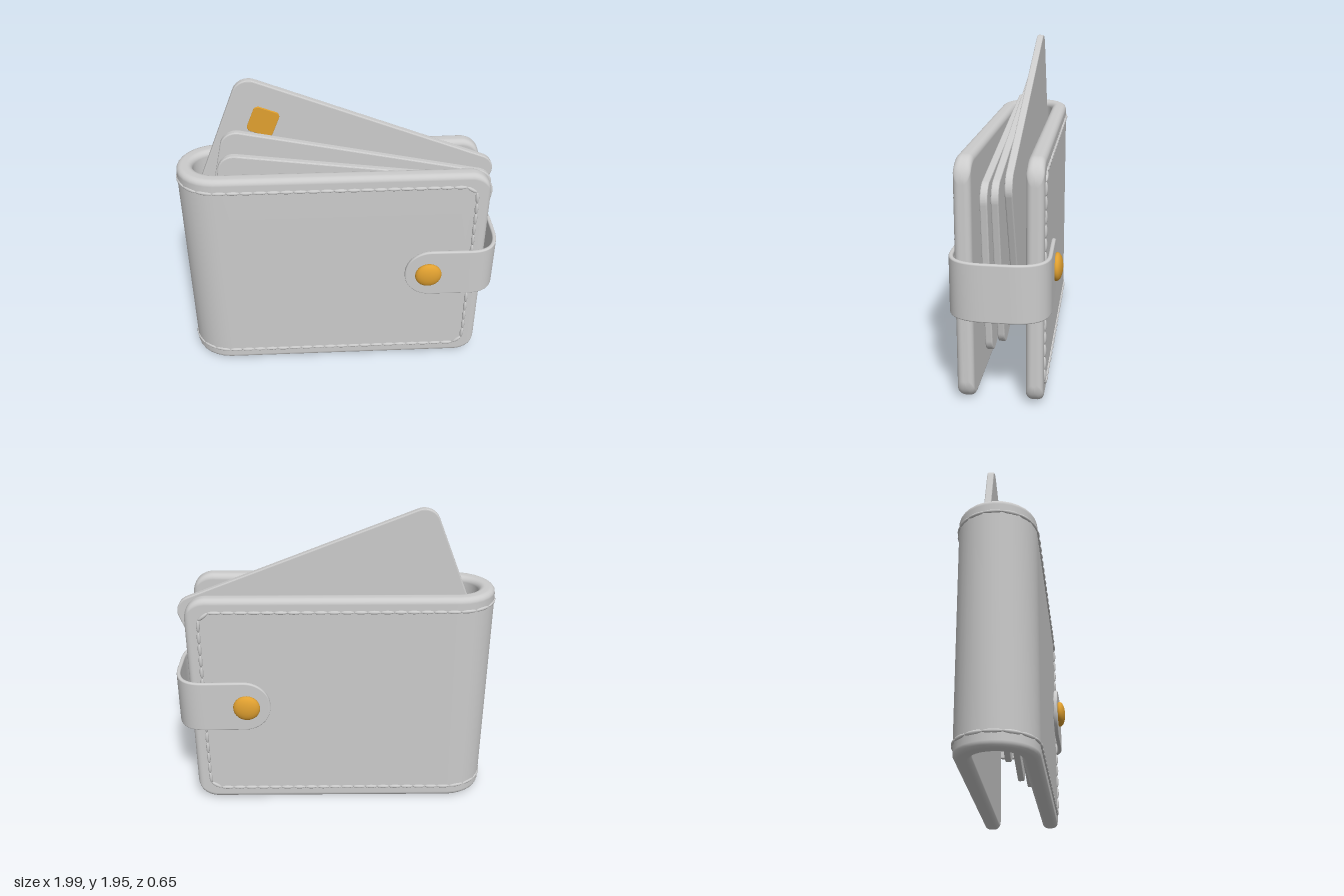
import * as THREE from 'three';
import { mergeGeometries } from 'three/addons/utils/BufferGeometryUtils.js';

const V2 = (x, y) => new THREE.Vector2(x, y);
const leather = new THREE.MeshStandardMaterial({ color: 0xcccccc, side: THREE.DoubleSide });
const brass = new THREE.MeshStandardMaterial({ color: 0xe0a030 });

function mesh(name, geometry, material = leather) {
  const m = new THREE.Mesh(geometry, material);
  m.name = name;
  return m;
}

function pathOf(...curves) {
  const path = new THREE.CurvePath();
  curves.forEach((c) => path.add(c));
  return path;
}

// Point at distance s along a plan path (x, z), pushed outwards by n, at height y
function onSheet(path, length, s, n, y) {
  const u = THREE.MathUtils.clamp(s / length, 0, 1);
  const p = path.getPointAt(u);
  const t = path.getTangentAt(u);
  return new THREE.Vector3(p.x + t.y * n, y, p.y - t.x * n);
}

// Bent sheet with rounded edges and rounded end corners
function bentSheet(path, y0, y1, thickness, edge, corner, middle) {
  const length = path.getLength();
  const stations = [];
  const ends = [];
  for (let i = 0; i <= 14; i++) ends.push(corner * (1 - Math.cos((i / 14) * Math.PI / 2)));
  stations.push(...ends);
  for (let i = 1; i < middle; i++) stations.push(corner + (length - 2 * corner) * i / middle);
  stations.push(...ends.map((d) => length - d).reverse());

  const pos = [], index = [], steps = 5, ring = 4 * (steps + 1);
  for (const s of stations) {
    const d = Math.min(s, length - s);
    const inset = d < corner ? corner - Math.sqrt(corner ** 2 - (corner - d) ** 2) : 0;
    const pinch = d < edge ? edge - Math.sqrt(edge ** 2 - (edge - d) ** 2) : 0;
    const half = thickness / 2 - pinch;
    const r = Math.min(edge, half);
    const mid = (y0 + y1) / 2;
    const h = Math.max((y1 - y0) / 2 - inset, r);
    for (let q = 0; q < 4; q++) {
      const sn = q === 0 || q === 3 ? 1 : -1;
      const sy = q < 2 ? 1 : -1;
      for (let k = 0; k <= steps; k++) {
        const a = (q + k / steps) * Math.PI / 2;
        const n = sn * (half - r) + r * Math.cos(a);
        const y = mid + sy * (h - r) + r * Math.sin(a);
        pos.push(...onSheet(path, length, s, n, y).toArray());
      }
    }
  }
  const rows = stations.length;
  for (let i = 0; i < rows - 1; i++) {
    for (let j = 0; j < ring; j++) {
      const a = i * ring + j, b = i * ring + (j + 1) % ring;
      index.push(a, b, b + ring, a, b + ring, a + ring);
    }
  }
  // end caps
  for (let j = 1; j < ring - 1; j++) {
    const e = (rows - 1) * ring;
    index.push(0, j + 1, j, e, e + j, e + j + 1);
  }
  const g = new THREE.BufferGeometry();
  g.setAttribute('position', new THREE.Float32BufferAttribute(pos, 3));
  g.setIndex(index);
  g.computeVertexNormals();
  return g;
}

function roundedRect(x0, y0, x1, y1, r) {
  const s = new THREE.Shape();
  s.absarc(x1 - r, y0 + r, r, -Math.PI / 2, 0);
  s.absarc(x1 - r, y1 - r, r, 0, Math.PI / 2);
  s.absarc(x0 + r, y1 - r, r, Math.PI / 2, Math.PI);
  s.absarc(x0 + r, y0 + r, r, Math.PI, Math.PI * 1.5);
  s.closePath();
  return s;
}

// Flat rounded plate centred on its own origin
function plate(w, h, depth, r, bevel) {
  const g = new THREE.ExtrudeGeometry(
    roundedRect(-w / 2 + bevel, -h / 2 + bevel, w / 2 - bevel, h / 2 - bevel, r - bevel),
    { depth: depth - 2 * bevel, bevelThickness: bevel, bevelSize: bevel, bevelSegments: 3, curveSegments: 10 });
  return g.translate(0, 0, -depth / 2 + bevel);
}

// Chain of small stitches around the whole folded sheet
function stitching(path, height, inset, lift) {
  const length = path.getLength();
  const outline = roundedRect(inset, inset, length - inset, height - inset, 0.07);
  const points = outline.getSpacedPoints(124).map((p) => onSheet(path, length, p.x, lift, p.y));
  const parts = [];
  for (let i = 0; i < points.length - 1; i++) {
    const dir = points[i + 1].clone().sub(points[i]);
    const g = new THREE.SphereGeometry(1, 8, 8);
    g.scale(0.012, dir.length() * 0.52, 0.012);
    g.applyQuaternion(new THREE.Quaternion().setFromUnitVectors(
      new THREE.Vector3(0, 1, 0), dir.clone().normalize()));
    const c = points[i].clone().add(points[i + 1]).multiplyScalar(0.5);
    parts.push(g.translate(c.x, c.y, c.z));
  }
  return mergeGeometries(parts);
}

export function createModel() {
  const model = new THREE.Group();
  model.name = 'wallet';

  // Folded cover
  const fold = pathOf(
    new THREE.LineCurve(V2(0.89, 0.197), V2(-0.745, 0.177)),
    new THREE.EllipseCurve(-0.745, 0, 0.198, 0.177, Math.PI / 2, Math.PI * 1.5),
    new THREE.LineCurve(V2(-0.745, -0.177), V2(0.89, -0.197)));
  model.add(mesh('cover', bentSheet(fold, 0, 1.44, 0.098, 0.035, 0.13, 90)));
  model.add(mesh('stitching', stitching(fold, 1.44, 0.083, 0.05)));

  // Closing strap, wrapped from back to front
  const strap = pathOf(
    new THREE.LineCurve(V2(0.39, -0.262), V2(0.8, -0.273)),
    new THREE.CubicBezierCurve(V2(0.8, -0.273), V2(0.93, -0.276), V2(0.978, -0.2), V2(0.978, -0.06)),
    new THREE.LineCurve(V2(0.978, -0.06), V2(0.978, 0.06)),
    new THREE.CubicBezierCurve(V2(0.978, 0.06), V2(0.978, 0.2), V2(0.93, 0.276), V2(0.8, 0.273)),
    new THREE.LineCurve(V2(0.8, 0.273), V2(0.39, 0.262)));
  model.add(mesh('strap', bentSheet(strap, 0.555, 0.895, 0.025, 0.01, 0.165, 60)));

  // Snap buttons on both sides
  for (const side of [1, -1]) {
    const snap = mesh(side > 0 ? 'frontSnap' : 'backSnap', new THREE.SphereGeometry(1, 32, 20), brass);
    snap.scale.set(0.084, 0.084, 0.036);
    snap.position.set(0.537, 0.725, side * 0.288);
    model.add(snap);
  }

  // Tilted cards: x, y, z, tilt in degrees
  const cards = [
    ['frontCard', 0.04, 0.9, 0.07, 8],
    ['middleCard', 0.02, 0.975, 0.01, 12.3],
    ['backCard', 0.004, 1.174, -0.066, 21.8],
  ];
  for (const [name, x, y, z, tilt] of cards) {
    const card = new THREE.Group();
    card.name = name;
    card.add(mesh(name + 'Plate', plate(1.69, 1.05, 0.042, 0.1, 0.008)));
    card.position.set(x, y, z);
    card.rotation.z = -THREE.MathUtils.degToRad(tilt);
    if (name === 'backCard') {
      const chip = mesh('chip', plate(0.16, 0.17, 0.014, 0.03, 0.004), brass);
      chip.position.set(-0.615, 0.298, 0.021);
      card.add(chip);
    }
    model.add(card);
  }
  return model;
}
